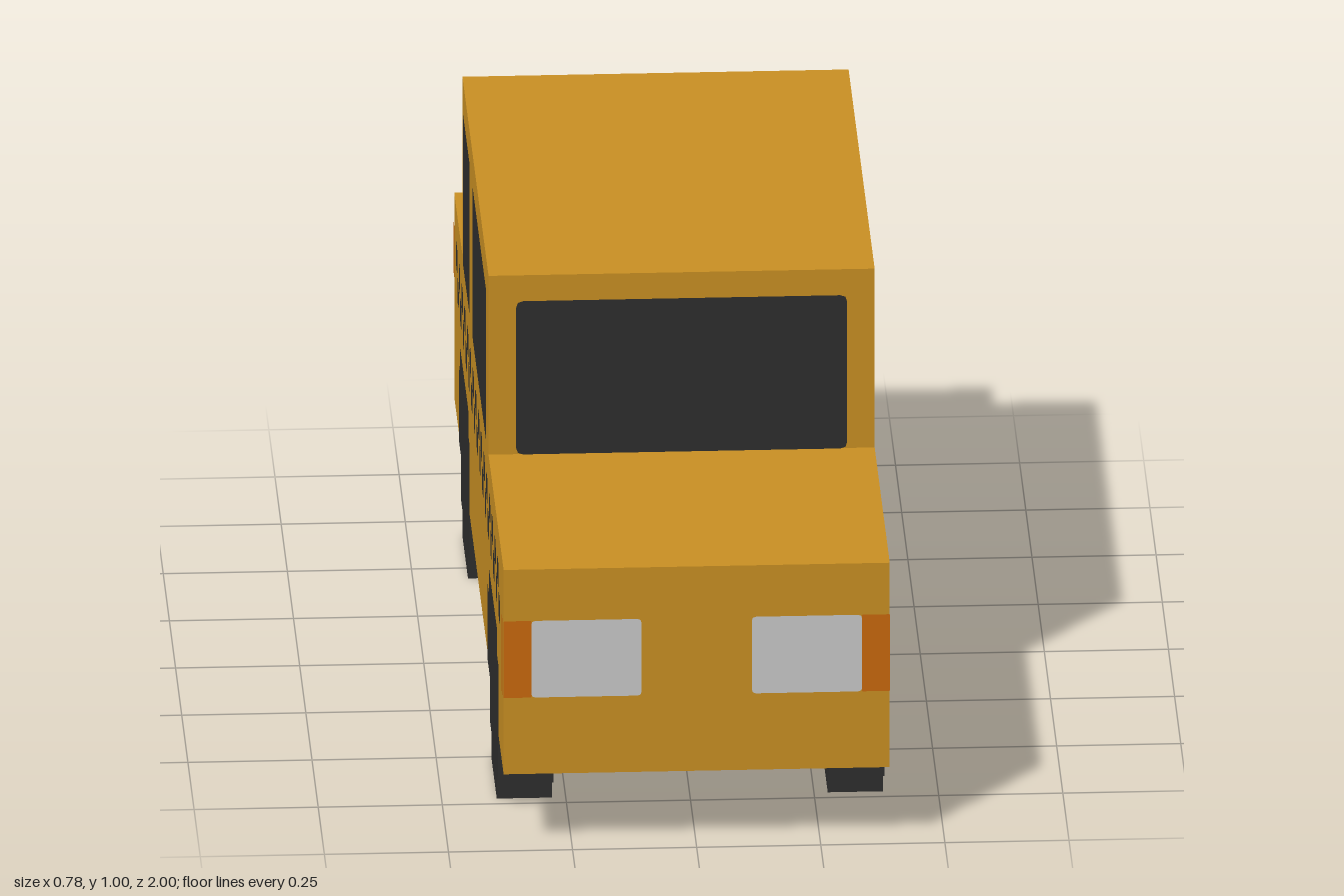
import * as THREE from 'three';
import { mergeGeometries } from 'three/addons/utils/BufferGeometryUtils.js';

const U = 1 / 18; // one block; every size below is counted in blocks
const GAP = 0.002; // height of painted plates above the body
const HALF = 7; // half the width of the car

const mat = (name, color) => {
  const m = new THREE.MeshStandardMaterial({ color });
  m.name = name;
  return m;
};

// Flat rectangle from (a0, b0) to (a1, b1), with softened corners
function rect(a0, b0, a1, b1, r = 0.25) {
  const s = new THREE.Shape();
  s.moveTo(a0 + r, b0);
  s.lineTo(a1 - r, b0);
  s.quadraticCurveTo(a1, b0, a1, b0 + r);
  s.lineTo(a1, b1 - r);
  s.quadraticCurveTo(a1, b1, a1 - r, b1);
  s.lineTo(a0 + r, b1);
  s.quadraticCurveTo(a0, b1, a0, b1 - r);
  s.lineTo(a0, b0 + r);
  s.quadraticCurveTo(a0, b0, a0 + r, b0);
  return new THREE.ShapeGeometry(s, 2).scale(U, U, 1);
}

export function createModel() {
  const car = new THREE.Group();
  car.name = 'taxi';
  const paint = mat('yellow paint', 0xca9023);
  const dark = mat('dark glass and rubber', 0x2e2e2e);
  const white = mat('headlight white', 0xcacaca);
  const orange = mat('indicator orange', 0xc9690d);
  const red = mat('tail light red', 0xb01c22);

  const add = (name, geometry, material) => {
    const mesh = new THREE.Mesh(geometry, material);
    mesh.name = name;
    car.add(mesh);
  };
  // Box given by its limits in blocks
  const box = (name, material, x0, x1, y0, y1, z0, z1) => {
    const g = new THREE.BoxGeometry((x1 - x0) * U, (y1 - y0) * U, (z1 - z0) * U);
    g.translate((x0 + x1) * U / 2, (y0 + y1) * U / 2, (z0 + z1) * U / 2);
    add(name, g, material);
  };
  // Plates on a face looking forwards (dir 1) or backwards (dir -1)
  const endPlate = (name, material, z, dir, x0, x1, y0, y1, r) => {
    const g = rect(x0, y0, x1, y1, r);
    if (dir < 0) g.rotateY(Math.PI);
    add(name, g.translate(0, 0, z * U + dir * GAP), material);
  };
  // Plates on both sides, each rectangle as [z0, z1, y0, y1, cornerRadius]
  const sidePlates = (name, material, rects) => {
    for (const side of [1, -1]) {
      const parts = rects.map(([z0, z1, y0, y1, r]) => {
        const g = side > 0 ? rect(-z1, y0, -z0, y1, r) : rect(z0, y0, z1, y1, r);
        return g.rotateY(side * Math.PI / 2).translate(side * (HALF * U + GAP), 0, 0);
      });
      add((side > 0 ? 'left ' : 'right ') + name, mergeGeometries(parts), material);
    }
  };

  // Body and cabin
  box('body', paint, -HALF, HALF, 3, 11, -18, 18);
  box('cabin', paint, -HALF, HALF, 11, 18, -12, 7);

  // Windows
  endPlate('windshield', dark, 7, 1, -6, 6, 11, 17);
  endPlate('rear window', dark, -12, -1, -6, 6, 11, 17);
  sidePlates('front window', dark, [[-4, 6, 11.1, 17]]);
  sidePlates('back window', dark, [[-11, -6, 11.1, 17]]);

  // Chequered stripe, two staggered rows of squares
  const squares = [];
  for (let k = 0; k < 16; k++) {
    const z = 15 - 2 * k;
    squares.push([z, z + 1, 8, 9], [z - 1, z, 9, 10]);
  }
  sidePlates('chequered stripe', dark, squares);

  // Wheels: stepped blocks below the body, painted upper halves on its sides
  for (const [end, z] of [['front', 11], ['rear', -10]]) {
    for (const s of [1, -1]) {
      const x0 = s > 0 ? 5 : -HALF;
      box(end + ' wheel', dark, x0, x0 + 2, 1, 3, z - 3, z + 3);
      box(end + ' wheel foot', dark, x0, x0 + 2, 0, 1, z - 2, z + 2);
    }
    sidePlates(end + ' wheel top', dark, [
      [z - 4, z + 4, 3, 6, 0.1],
      [z - 3, z + 3, 5.9, 7, 0.2],
    ]);
  }

  // Lights, with indicators wrapping round the corners
  for (const s of [1, -1]) {
    const span = (a, b) => (s > 0 ? [a, b] : [-b, -a]);
    endPlate('headlight', white, 18, 1, ...span(2, 6), 6, 9, 0.15);
    endPlate('front indicator', orange, 18, 1, ...span(6, 7), 6, 9, 0.02);
    endPlate('tail light', red, -18, -1, ...span(3, 5), 8, 10, 0.15);
    endPlate('rear indicator', orange, -18, -1, ...span(5, 7), 8, 10, 0.05);
  }
  sidePlates('front side indicator', orange, [[17, 18, 6, 9, 0.2]]);
  sidePlates('rear side indicator', orange, [[-18, -17, 8, 10, 0.2]]);

  return car;
}
